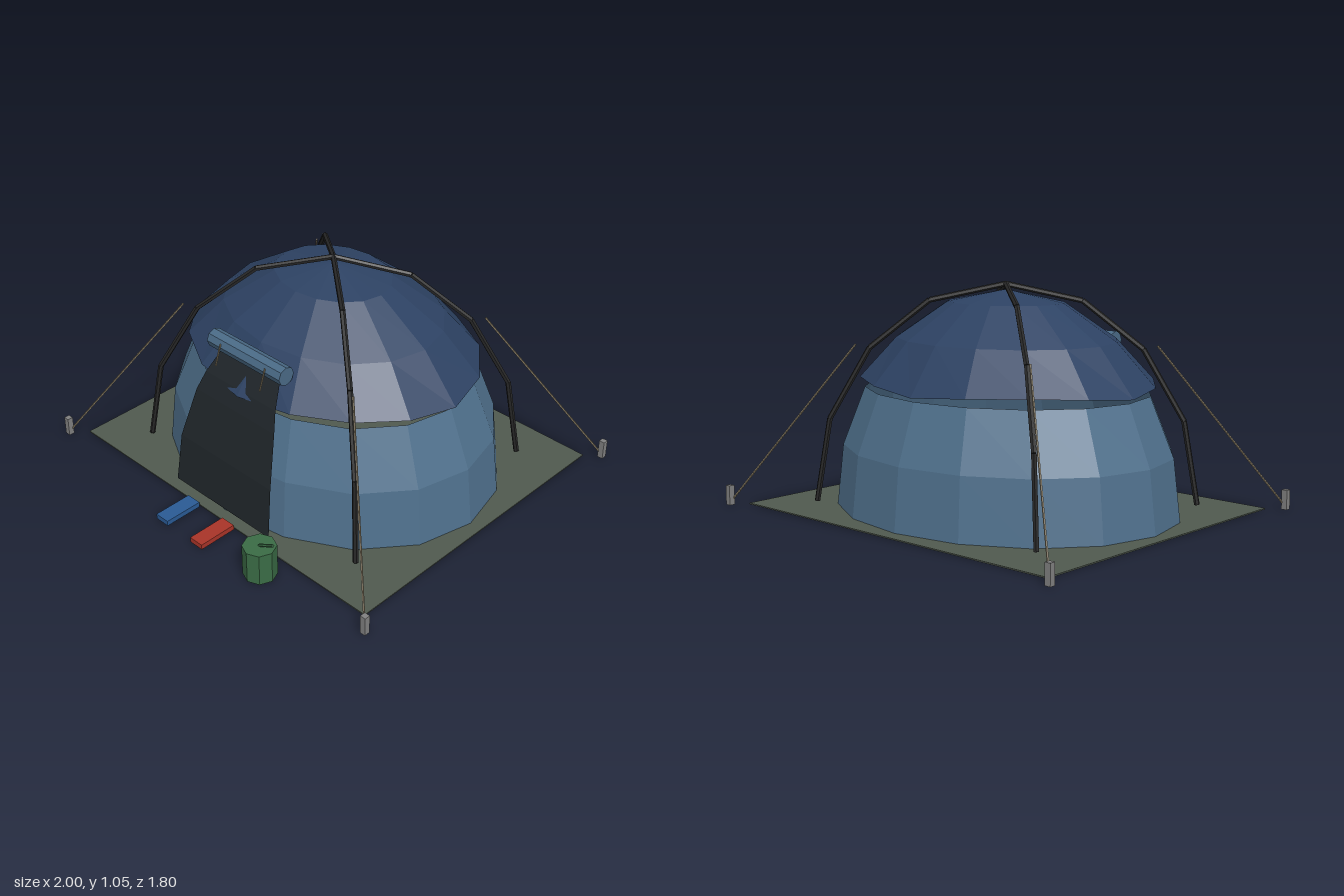
import * as THREE from 'three';

const CZ = -0.06; // depth of the dome's centre
const mat = (color, double = false) => new THREE.MeshStandardMaterial({
  color, flatShading: true, side: double ? THREE.DoubleSide : THREE.FrontSide });

const M = {
  wall: mat(0x4f708c, true), fly: mat(0x2d4263, true), sheet: mat(0x50594f),
  pole: mat(0x262626), door: mat(0x1f2529, true), roll: mat(0x4a6a86),
  cord: mat(0x8c8068), peg: mat(0x808080), blue: mat(0x2a5a94),
  red: mat(0xa83428), green: mat(0x3a6b45),
};

export function createModel() {
  const model = new THREE.Group();
  model.name = 'domeTent';

  const add = (name, geometry, material, x = 0, y = 0, z = 0) => {
    const mesh = new THREE.Mesh(geometry, material);
    mesh.name = name;
    mesh.position.set(x, y, z);
    model.add(mesh);
    return mesh;
  };
  const V = (x, y, z) => new THREE.Vector3(x, y, z);
  // straight round bar between two points
  const bar = (name, a, b, r, material, sides = 6) => {
    const dir = b.clone().sub(a);
    const m = add(name, new THREE.CylinderGeometry(r, r, dir.length(), sides), material);
    m.position.copy(a).add(b).multiplyScalar(0.5);
    m.quaternion.setFromUnitVectors(V(0, 1, 0), dir.normalize());
    return m;
  };
  // 16-sided oval shell from [radius, height] pairs
  const shell = (profile) => new THREE.LatheGeometry(
    profile.map(([r, y]) => new THREE.Vector2(r, y)), 16).scale(1, 1, 0.82);

  // groundsheet
  add('groundsheet', new THREE.BoxGeometry(1.84, 0.006, 1.53), M.sheet, 0, 0.004, -0.065);

  // lower wall
  add('wall', shell([[0.86, 0], [0.825, 0.29], [0.71, 0.56]]), M.wall, 0, 0, CZ);

  // upper fly, its rim lifting between the four main points
  const fly = shell([[0.735, 0.578], [0.55, 0.79], [0.29, 0.955], [0, 1.01]]);
  const p = fly.attributes.position;
  for (let i = 0; i < p.count; i++) {
    if (p.getY(i) < 0.6) {
      const a = Math.atan2(p.getX(i), p.getZ(i) / 0.82);
      p.setY(i, 0.578 + 0.028 * Math.abs(Math.sin(2 * a)));
    }
  }
  fly.computeVertexNormals();
  add('fly', fly, M.fly, 0, 0, CZ);

  // two crossing poles: [fraction of foot distance, height]
  const half = [[1, 0.02], [0.925, 0.41], [0.71, 0.74], [0.395, 0.96], [0, 1.035]];
  for (const s of [1, -1]) {
    const pts = [...half.map(([f, y]) => [f, y]),
      ...half.slice(0, -1).reverse().map(([f, y]) => [-f, y])]
      .map(([f, y]) => V(0.68 * f, y, CZ + s * 0.56 * f));
    const path = new THREE.CurvePath();
    for (let i = 1; i < pts.length; i++) {
      path.add(new THREE.LineCurve3(pts[i - 1], pts[i]));
      bar('pole', pts[i - 1], pts[i], 0.013, M.pole);
    }
  }

  // guy lines and pegs at the four corners
  for (const sx of [1, -1]) {
    for (const sz of [1, -1]) {
      bar('guyLine', V(sx * 0.535, 0.755, CZ + sz * 0.435),
        V(sx * 0.985, 0.012, CZ + sz * 0.83), 0.005, M.cord, 5);
      add('peg', new THREE.BoxGeometry(0.028, 0.092, 0.028), M.peg,
        sx * 0.985, 0.046, CZ + sz * 0.83);
    }
  }

  // door opening: strip of rows [half width, height, depth]
  const rows = [[0.305, 0.03, 0.66], [0.292, 0.27, 0.63], [0.25, 0.51, 0.56],
    [0.222, 0.6, 0.523], [0.185, 0.7, 0.458]];
  const door = new THREE.PlaneGeometry(1, 1, 1, rows.length - 1);
  rows.slice().reverse().forEach(([w, y, z], r) => {
    door.attributes.position.setXYZ(2 * r, -w, y, z);
    door.attributes.position.setXYZ(2 * r + 1, w, y, z);
  });
  door.computeVertexNormals();
  add('doorway', door, M.door);

  // rolled-up door flap with its ties
  const roll = new THREE.CylinderGeometry(0.044, 0.044, 0.455, 8);
  add('rolledFlap', roll.rotateZ(Math.PI / 2), M.roll, 0, 0.75, 0.46);
  for (const x of [-0.14, 0.14]) {
    bar('flapTie', V(x, 0.768, 0.502), V(x, 0.67, 0.535), 0.004, M.cord, 5);
  }

  // pair of flat mats in front of the door
  add('blueMat', new THREE.BoxGeometry(0.075, 0.025, 0.19), M.blue, -0.14, 0.0125, 0.8);
  add('redMat', new THREE.BoxGeometry(0.075, 0.025, 0.19), M.red, 0.09, 0.0125, 0.8);

  // watering pot with a slanted spout
  add('pot', new THREE.CylinderGeometry(0.076, 0.076, 0.155, 8), M.green, 0.42, 0.0775, 0.82);
  bar('potSpout', V(0.42, 0.155, 0.82), V(0.505, 0.202, 0.82), 0.007, M.green);

  return model;
}
